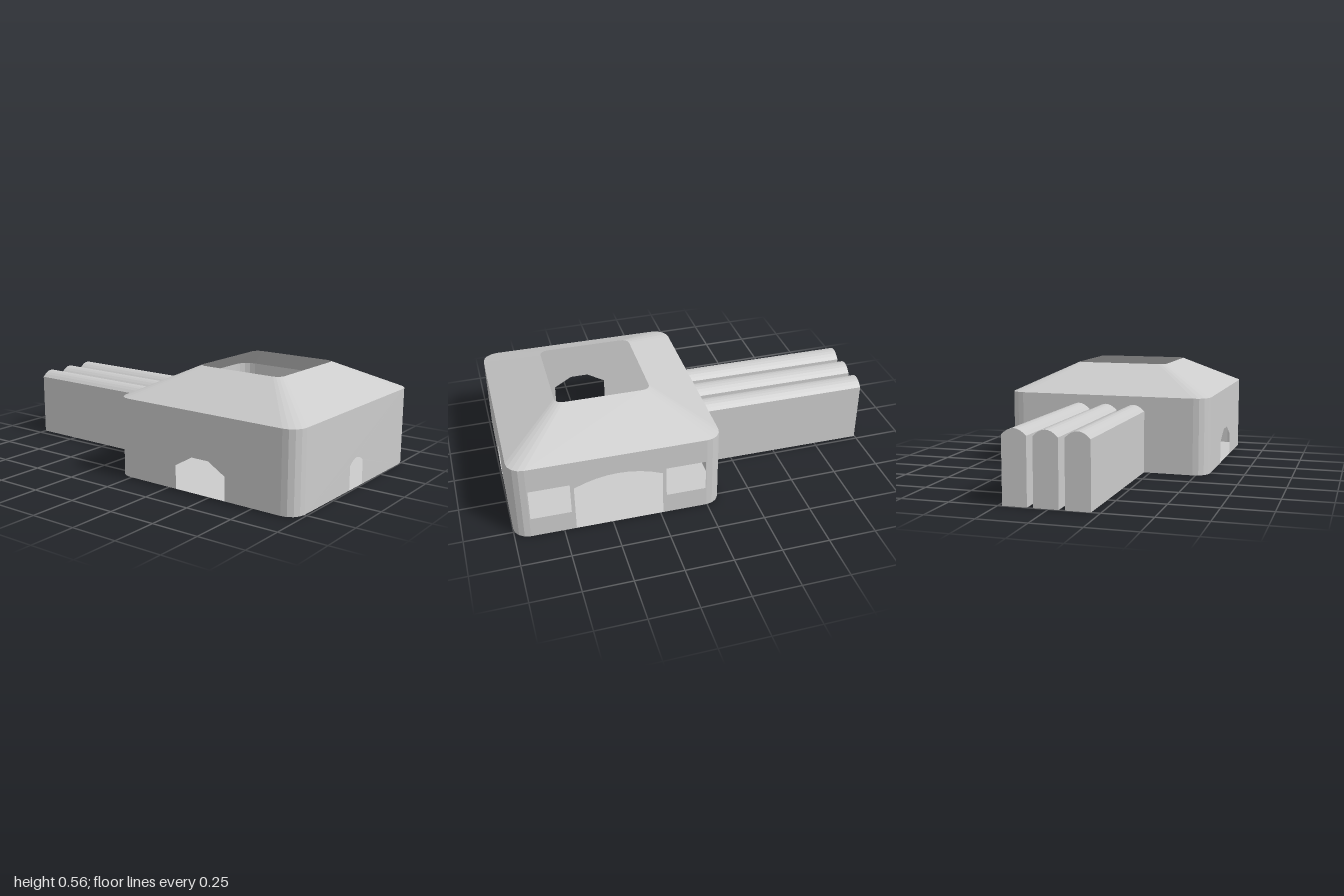
import * as THREE from 'three';
import { mergeGeometries } from 'three/addons/utils/BufferGeometryUtils.js';

const flat = new THREE.MeshStandardMaterial({ color: 0xcccccc, flatShading: true, side: THREE.DoubleSide });

const CX = 0.455, HX = 0.538, HZ = 0.565; // hall centre and half sizes
const EAVE = 0.414, TOP = 0.565, CORNER = 0.08;
const VAULT = { half: 0.062, spring: 0.335, rise: 0.033, n: 8 };
const VAULT_Z = [-0.155, 0, 0.155];

function add(parent, name, geometry, x = 0, y = 0, z = 0, rotY = 0) {
  const mesh = new THREE.Mesh(geometry, flat);
  mesh.name = name;
  mesh.position.set(x, y, z);
  mesh.rotation.y = rotY;
  parent.add(mesh);
  return mesh;
}

// Doorway outline from the floor, over the arch and down again
function archPoints({ c = 0, half, spring, rise, n }) {
  const pts = [new THREE.Vector2(c - half, 0)];
  for (let i = 0; i <= n; i++) {
    const t = (2 * i) / n - 1;
    pts.push(new THREE.Vector2(c + half * t, spring + rise * (1 - t * t)));
  }
  pts.push(new THREE.Vector2(c + half, 0));
  return pts;
}

// Flat wall with arched doorways cut from its foot and rectangular windows
function wallGeometry(halfWidth, arches, windows = []) {
  const V = (x, y) => new THREE.Vector2(x, y);
  const shape = new THREE.Shape([
    V(-halfWidth, 0), ...arches.flatMap(archPoints),
    V(halfWidth, 0), V(halfWidth, EAVE), V(-halfWidth, EAVE),
  ]);
  for (const [x0, x1, y0, y1] of windows) {
    shape.holes.push(new THREE.Path([V(x0, y0), V(x0, y1), V(x1, y1), V(x1, y0)]));
  }
  return new THREE.ShapeGeometry(shape);
}

// Rounded rectangle as a ring of [x, z] points
function ring(hx, hz, r, steps = 4) {
  const pts = [];
  [[1, 1], [-1, 1], [-1, -1], [1, -1]].forEach(([sx, sz], k) => {
    for (let i = 0; i <= steps; i++) {
      const a = (k + i / steps) * Math.PI / 2;
      pts.push([sx * (hx - r) + r * Math.cos(a), sz * (hz - r) + r * Math.sin(a)]);
    }
  });
  return pts;
}

// Band of faces between two rings at different heights
function bandGeometry(low, y0, high, y1) {
  const pos = [], index = [], n = low.length;
  for (let i = 0; i < n; i++) {
    pos.push(low[i][0], y0, low[i][1], high[i][0], y1, high[i][1]);
    const a = 2 * i, b = 2 * ((i + 1) % n);
    index.push(a, a + 1, b, b, a + 1, b + 1);
  }
  const g = new THREE.BufferGeometry();
  g.setAttribute('position', new THREE.Float32BufferAttribute(pos, 3));
  g.setIndex(index);
  g.computeVertexNormals();
  return g;
}

function buildHall() {
  const hall = new THREE.Group();
  hall.name = 'hall';
  hall.position.x = CX;
  const wx = HX - CORNER, wz = HZ - CORNER;

  // Walls
  add(hall, 'frontWall', wallGeometry(wx, [{ c: -0.007, half: 0.149, spring: 0.123, rise: 0.065, n: 3 }]), 0, 0, HZ);
  add(hall, 'backWall', wallGeometry(wx,
    [{ half: 0.226, spring: 0.255, rise: 0.05, n: 8 }],
    [[-0.452, -0.245, 0.11, 0.28], [0.245, 0.452, 0.11, 0.28]]), 0, 0, -HZ, Math.PI);
  add(hall, 'leftWall', wallGeometry(wz, [{ half: 0.065, spring: 0.127, rise: 0.03, n: 8 }]), HX, 0, 0, Math.PI / 2);
  add(hall, 'rightWall', wallGeometry(wz, VAULT_Z.map(c => ({ ...VAULT, c }))), -HX, 0, 0, -Math.PI / 2);

  // Rounded wall corners
  for (let k = 0; k < 4; k++) {
    const sx = k === 0 || k === 1 ? 1 : -1, sz = k === 0 || k === 3 ? 1 : -1;
    const g = new THREE.CylinderGeometry(CORNER, CORNER, EAVE, 4, 1, true, k * Math.PI / 2, Math.PI / 2);
    add(hall, 'wallCorner', g, sx * wx, EAVE / 2, sz * wz);
  }

  // Sloped roof around an open skylight
  const foot = ring(HX, HZ, CORNER);
  add(hall, 'roof', bandGeometry(foot, EAVE, ring(0.245, 0.26, 0.04), TOP));

  // Floor
  const floor = new THREE.ShapeGeometry(new THREE.Shape(foot.map(([x, z]) => new THREE.Vector2(x, z))));
  add(hall, 'floor', floor.rotateX(Math.PI / 2));

  // Low round basin on the floor
  const profile = [[0.125, 0], [0.125, 0.02], [0.1, 0.02], [0.1, 0.012], [0, 0.012]];
  add(hall, 'basin', new THREE.LatheGeometry(profile.map(p => new THREE.Vector2(...p)), 32), 0.075, 0, -0.025);
  return hall;
}

// Vaulted passage, open below and towards the hall, closed at the far end
function buildPassage(z) {
  const passage = new THREE.Group();
  passage.name = 'passage';
  const near = CX - HX, far = -0.999, pts = archPoints(VAULT);
  const pos = [], index = [];
  pts.forEach((p, i) => {
    pos.push(near, p.y, p.x, far, p.y, p.x);
    if (i) index.push(2 * i - 2, 2 * i, 2 * i - 1, 2 * i, 2 * i + 1, 2 * i - 1);
  });
  const shell = new THREE.BufferGeometry();
  shell.setAttribute('position', new THREE.Float32BufferAttribute(pos, 3));
  shell.setIndex(index);
  shell.computeVertexNormals();
  add(passage, 'vault', shell);
  add(passage, 'endWall', new THREE.ShapeGeometry(new THREE.Shape(pts)), far, 0, 0, -Math.PI / 2);
  passage.position.z = z;
  return passage;
}

// Spiral stair of thin wedge steps
function spiralStairGeometry(radius, count, rise, perTurn) {
  const wedge = 2 * Math.PI / perTurn, steps = [];
  for (let i = 0; i < count; i++) {
    const step = new THREE.CylinderGeometry(radius, radius, rise, 3, 1, false, Math.PI + i * wedge, wedge * 1.1);
    steps.push(step.translate(0, 0.01 + i * rise, 0));
  }
  return mergeGeometries(steps);
}

export function createModel() {
  const model = new THREE.Group();
  model.name = 'vaultedHall';
  model.add(buildHall());
  VAULT_Z.forEach(z => model.add(buildPassage(z)));
  add(model, 'spiralStair', spiralStairGeometry(0.055, 40, 0.0075, 12), -0.43, 0, 0);
  model.rotation.y = -0.012; // the plan sits slightly askew
  return model;
}
